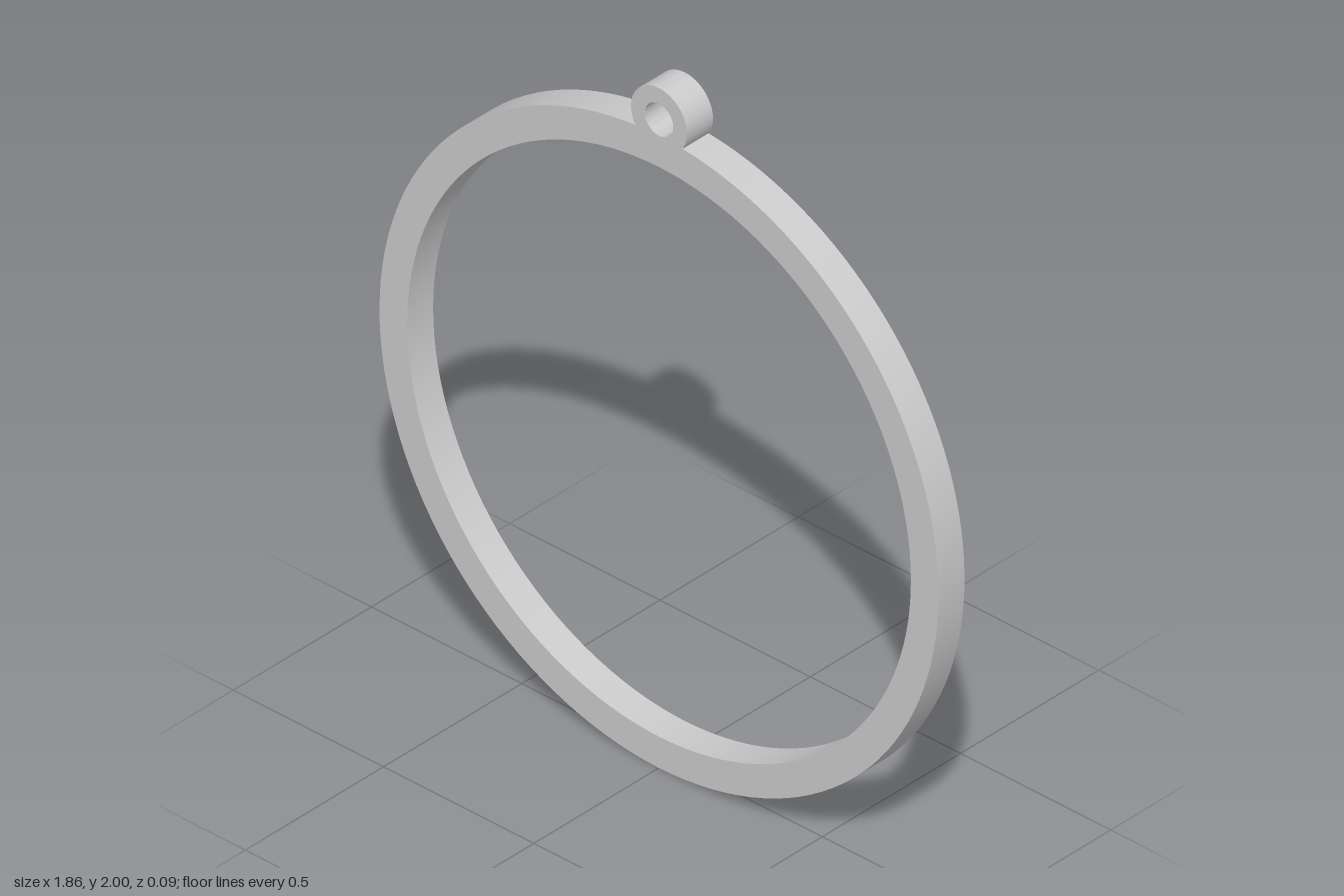
import * as THREE from 'three';
import { toCreasedNormals } from 'three/addons/utils/BufferGeometryUtils.js';

const RING = { y: 0.93, outer: 0.93, inner: 0.838 };
const LOOP = { y: 1.907, outer: 0.093, inner: 0.047 };
const DEPTH = 0.094;

function circleHole({ y, inner }) {
  return new THREE.Path().absarc(0, y, inner, 0, Math.PI * 2, true);
}

export function createModel() {
  const group = new THREE.Group();
  group.name = 'hangingRing';

  // Point where the loop's outer circle meets the ring's outer circle
  const d = LOOP.y - RING.y;
  const rise = (d * d + RING.outer ** 2 - LOOP.outer ** 2) / (2 * d);
  const halfWidth = Math.sqrt(RING.outer ** 2 - rise * rise);
  const ringGap = Math.atan2(halfWidth, rise);
  const loopStart = Math.atan2(rise - d, halfWidth);

  // One outline: round the ring, then over the loop
  const outline = new THREE.Shape();
  outline.absarc(0, RING.y, RING.outer, Math.PI / 2 + ringGap, Math.PI * 2.5 - ringGap, false);
  outline.absarc(0, LOOP.y, LOOP.outer, loopStart, Math.PI - loopStart, false);
  outline.holes.push(circleHole(RING), circleHole(LOOP));

  const geometry = new THREE.ExtrudeGeometry(outline, {
    depth: DEPTH, bevelEnabled: false, curveSegments: 64,
  });
  geometry.translate(0, 0, -DEPTH / 2);

  const ring = new THREE.Mesh(
    toCreasedNormals(geometry, Math.PI / 6),
    new THREE.MeshStandardMaterial({ color: 0xcccccc }),
  );
  ring.name = 'ringWithHangingLoop';
  group.add(ring);
  return group;
}
